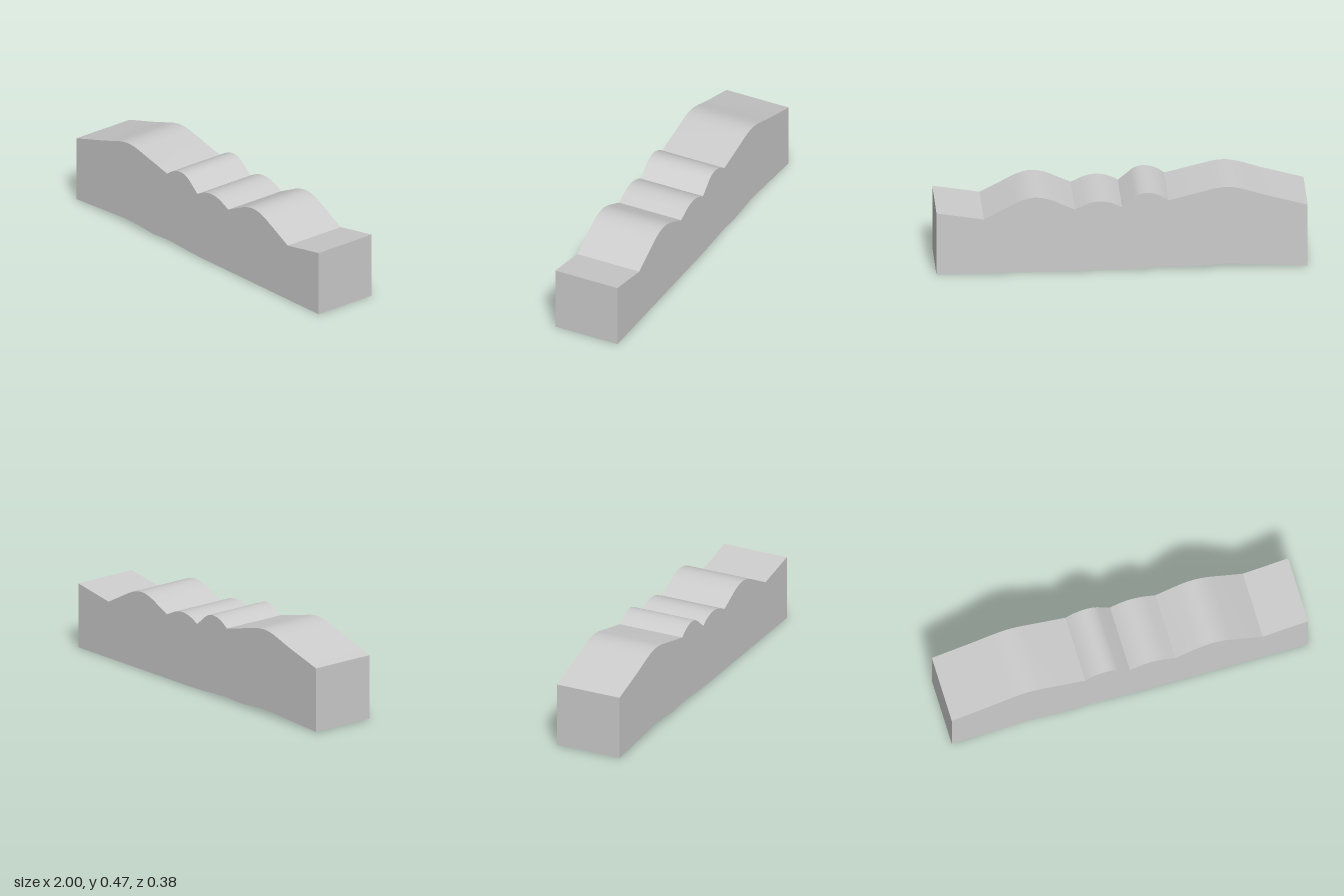
import * as THREE from 'three';
import { toCreasedNormals } from 'three/addons/utils/BufferGeometryUtils.js';

const DEPTH = 0.376;

export function createModel() {
  const group = new THREE.Group();
  group.name = 'terrainStrip';

  const s = new THREE.Shape();
  // Underside, slightly wavy on the right half, then flat
  s.moveTo(1, 0);
  s.lineTo(0.08, 0.004);
  s.splineThru([[-0.05, 0.007], [-0.13, 0.012], [-0.25, 0.017], [-0.36, 0.012], [-0.45, 0.018], [-0.57, 0.025], [-0.68, 0.02]]
    .map(([x, y]) => new THREE.Vector2(x, y)));
  s.lineTo(-1, 0.002);

  // Large rounded hill with straight slopes
  s.lineTo(-1, 0.36);
  s.lineTo(-0.76, 0.427);
  s.bezierCurveTo(-0.65, 0.462, -0.6, 0.488, -0.5, 0.468);
  s.lineTo(-0.25, 0.405);
  // Two small humps
  s.bezierCurveTo(-0.18, 0.462, -0.11, 0.465, -0.065, 0.425);
  s.lineTo(0, 0.37);
  s.bezierCurveTo(0.07, 0.412, 0.13, 0.42, 0.2, 0.39);
  s.lineTo(0.255, 0.364);
  // Medium hill, valley and rising end
  s.lineTo(0.37, 0.417);
  s.bezierCurveTo(0.45, 0.45, 0.5, 0.444, 0.57, 0.41);
  s.lineTo(0.745, 0.318);
  s.lineTo(1, 0.36);
  s.closePath();

  const extruded = new THREE.ExtrudeGeometry(s, { depth: DEPTH, bevelEnabled: false, curveSegments: 12 });
  extruded.translate(0, 0, -DEPTH / 2);

  const block = new THREE.Mesh(
    toCreasedNormals(extruded, 0.4),
    new THREE.MeshStandardMaterial({ color: 0xcccccc })
  );
  block.name = 'hillyBlock';
  group.add(block);
  return group;
}
